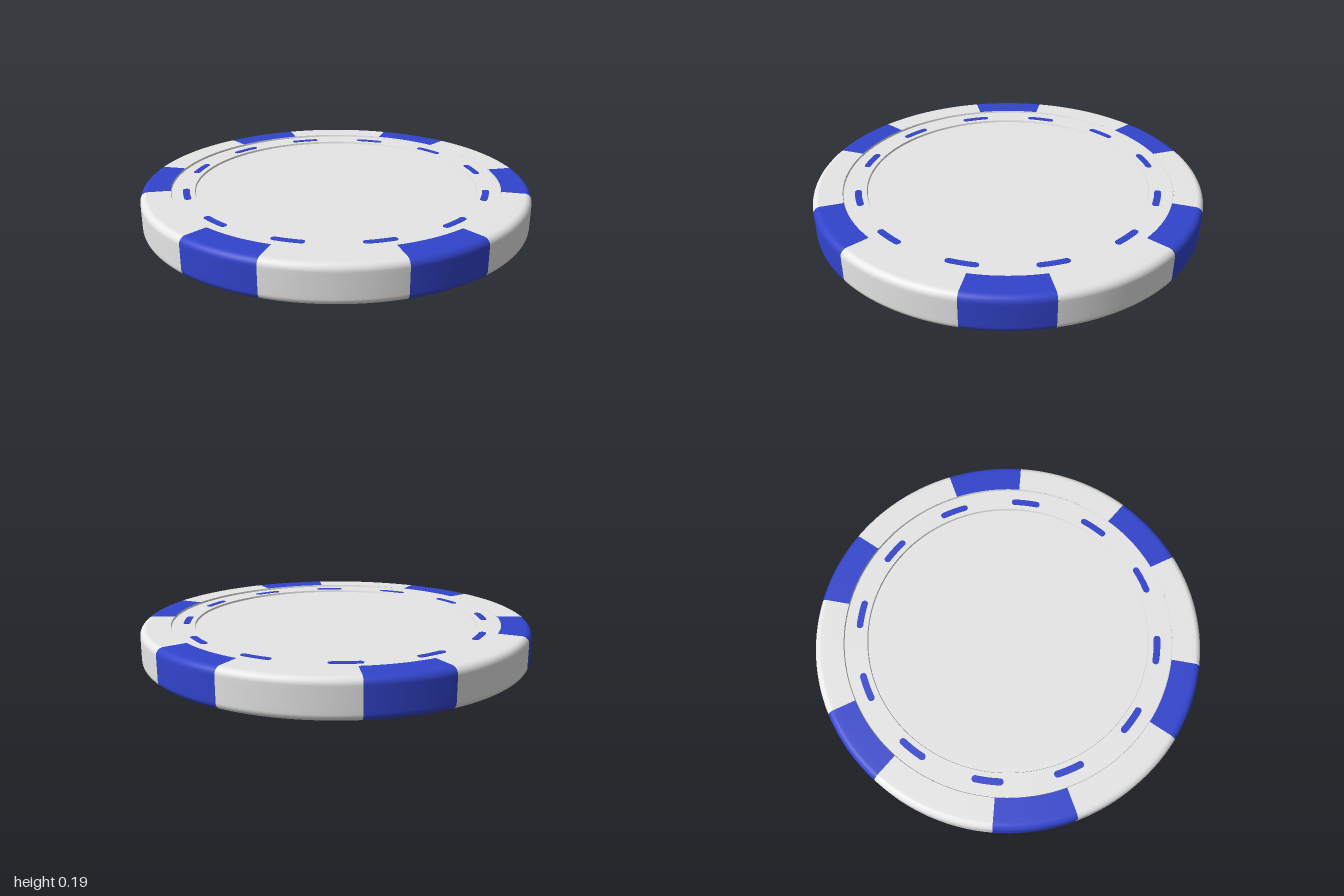
import * as THREE from 'three';
import { mergeGeometries } from 'three/addons/utils/BufferGeometryUtils.js';

const HEIGHT = 0.19, RIM = 0.85, DISC = 0.73, STEP = 0.01, CORNER = 0.035;
const SPOTS = 6, SPOT_ANGLE = THREE.MathUtils.degToRad(23.8);
const OFFSET = THREE.MathUtils.degToRad(-4.1);

const white = new THREE.MeshStandardMaterial({ color: 0xe6e6e6 });
white.name = 'chip white';
const blue = new THREE.MeshStandardMaterial({ color: 0x3244cc });
blue.name = 'chip blue';

// Rounded rim cross-section, from the lower inner edge round to the upper one
function rimProfile() {
  const points = [[RIM, 0], [0.94, 0]];
  const n = 8;
  for (let i = 0; i <= n; i++) {
    const a = -Math.PI / 2 + (i / n) * Math.PI / 2;
    points.push([1 - CORNER + CORNER * Math.cos(a), CORNER + CORNER * Math.sin(a)]);
  }
  points.push([1, 0.06]);
  const mirrored = points.map(([r, y]) => [r, HEIGHT - y]).reverse();
  return [...points, ...mirrored].map(([r, y]) => new THREE.Vector2(r, y));
}

// Recessed face: every step is its own lathe so the edges stay sharp
function faceGeometry(top) {
  const profile = [
    [RIM, HEIGHT], [RIM - 0.003, HEIGHT - STEP],
    [DISC, HEIGHT - STEP], [DISC - 0.003, HEIGHT - 2 * STEP],
    [0, HEIGHT - 2 * STEP],
  ].map(([r, y]) => new THREE.Vector2(r, top ? y : HEIGHT - y));
  const pieces = [];
  for (let i = 0; i < profile.length - 1; i++) {
    const pair = [profile[i], profile[i + 1]];
    pieces.push(new THREE.LatheGeometry(top ? pair : pair.reverse(), 120));
  }
  return mergeGeometries(pieces);
}

// Thin curved dash with round ends, centred on +z
function dashGeometry() {
  const r = 0.773, w = 0.017, half = 0.078;
  const a = -Math.PI / 2, d = (half - w) / r;
  const shape = new THREE.Shape();
  shape.absarc(0, 0, r + w, a - d, a + d, false);
  shape.absarc(r * Math.cos(a + d), r * Math.sin(a + d), w, a + d, a + d + Math.PI, false);
  shape.absarc(0, 0, r - w, a + d, a - d, true);
  shape.absarc(r * Math.cos(a - d), r * Math.sin(a - d), w, a - d + Math.PI, a - d + 2 * Math.PI, false);
  const geometry = new THREE.ExtrudeGeometry(shape, { depth: 0.004, bevelEnabled: false, curveSegments: 8 });
  return geometry.rotateX(-Math.PI / 2);
}

export function createModel() {
  const chip = new THREE.Group();
  chip.name = 'chip';
  const add = (name, geometry, material, y = 0, turn = 0) => {
    const mesh = new THREE.Mesh(geometry, material);
    mesh.name = name;
    mesh.position.y = y;
    mesh.rotation.y = turn;
    chip.add(mesh);
  };

  // Rim: alternating blue spots and white gaps
  const pitch = (2 * Math.PI) / SPOTS;
  const profile = rimProfile();
  const spot = new THREE.LatheGeometry(profile, 10, -SPOT_ANGLE / 2, SPOT_ANGLE);
  const gap = new THREE.LatheGeometry(profile, 14, SPOT_ANGLE / 2, pitch - SPOT_ANGLE);
  for (let i = 0; i < SPOTS; i++) {
    add('rimSpot', spot, blue, 0, OFFSET + i * pitch);
    add('rimGap', gap, white, 0, OFFSET + i * pitch);
  }

  // Stepped faces
  add('topFace', faceGeometry(true), white);
  add('bottomFace', faceGeometry(false), white);

  // Ring of dashes on both faces
  const dash = dashGeometry();
  for (let i = 0; i < 12; i++) {
    const turn = OFFSET + (i + 0.5) * Math.PI / 6;
    add('topDash', dash, blue, HEIGHT - STEP - 0.002, turn);
    add('bottomDash', dash, blue, STEP - 0.002, turn);
  }
  return chip;
}
